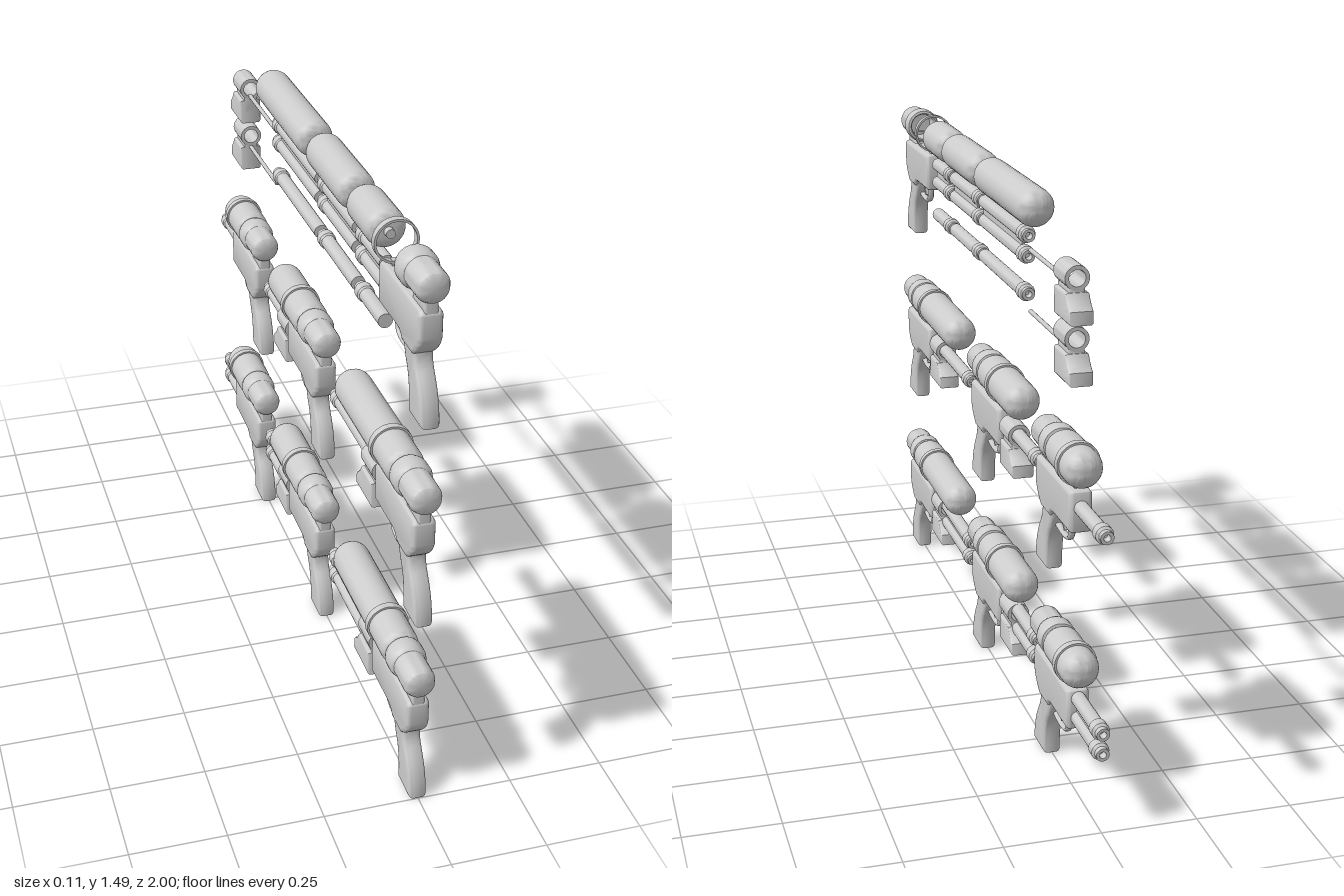
import * as THREE from 'three';
import { toCreasedNormals } from 'three/addons/utils/BufferGeometryUtils.js';

const mat = new THREE.MeshStandardMaterial({ color: 0xcccccc });
const V = (x, y) => new THREE.Vector2(x, y);

// Everything is laid out with the muzzle towards +x, then turned at the end.
function add(parent, name, geo, x = 0, y = 0, z = 0) {
  const m = new THREE.Mesh(geo, mat);
  m.name = name;
  m.position.set(x, y, z);
  parent.add(m);
  return m;
}

function group(parent, name, x = 0, y = 0) {
  const g = new THREE.Group();
  g.name = name;
  g.position.set(x, y, 0);
  parent.add(g);
  return g;
}

// Turned part along x; profile is [position along x, radius]
function turned(profile, seg = 28) {
  const g = new THREE.LatheGeometry(profile.map(([x, r]) => V(r, x)), seg);
  g.rotateZ(-Math.PI / 2);
  return toCreasedNormals(g, 0.6);
}

// Side profile with rounded edges, centred across z
function slab(shape, half, bevel) {
  const g = new THREE.ExtrudeGeometry(shape, {
    depth: 2 * (half - bevel), bevelThickness: bevel, bevelSize: bevel,
    bevelOffset: -bevel, bevelSegments: 4, curveSegments: 8,
  });
  g.translate(0, 0, -(half - bevel));
  return toCreasedNormals(g, 0.6);
}

function roundedBody() {
  const s = new THREE.Shape();
  s.moveTo(0.035, 0.293);
  s.quadraticCurveTo(0.018, 0.293, 0.018, 0.276);
  s.lineTo(0.018, 0.225);
  s.quadraticCurveTo(0.022, 0.195, 0.07, 0.165);
  s.lineTo(0.14, 0.165);
  s.quadraticCurveTo(0.15, 0.184, 0.175, 0.184);
  s.lineTo(0.305, 0.184);
  s.quadraticCurveTo(0.316, 0.184, 0.316, 0.195);
  s.lineTo(0.316, 0.282);
  s.quadraticCurveTo(0.316, 0.293, 0.305, 0.293);
  s.closePath();
  return s;
}

function gripShape() {
  const s = new THREE.Shape();
  s.moveTo(0.05, 0.21);
  s.quadraticCurveTo(0.075, 0.165, 0.045, 0.125);
  s.quadraticCurveTo(0.002, 0.07, 0.002, 0.002);
  s.lineTo(0.097, 0.002);
  s.quadraticCurveTo(0.096, 0.08, 0.12, 0.115);
  s.quadraticCurveTo(0.14, 0.14, 0.155, 0.2);
  s.closePath();
  return s;
}

// Frame: body, grip, trigger, rear cup and tank hoop
const TANK_Y = 0.354;
function addFrame(parent) {
  add(parent, 'body', slab(roundedBody(), 0.03, 0.012));
  add(parent, 'grip', slab(gripShape(), 0.024, 0.012));

  const guard = new THREE.CatmullRomCurve3(
    [[0.12, 0.142], [0.155, 0.134], [0.21, 0.133], [0.237, 0.145], [0.245, 0.19]]
      .map(([x, y]) => new THREE.Vector3(x, y, 0)));
  const guardGeo = new THREE.TubeGeometry(guard, 20, 0.006, 8);
  guardGeo.scale(1, 1, 1.6);
  add(parent, 'triggerGuard', guardGeo);
  const trigger = new THREE.Shape([V(0.175, 0.19), V(0.18, 0.165), V(0.195, 0.145),
    V(0.2, 0.148), V(0.192, 0.168), V(0.198, 0.19)]);
  add(parent, 'trigger', slab(trigger, 0.007, 0.002));

  // Hollow cup that receives the tank neck
  add(parent, 'tankCup', turned([
    [0, 0], [0.001, 0.025], [0.008, 0.036], [0.022, 0.042], [0.095, 0.042],
    [0.102, 0.047], [0.112, 0.05], [0.14, 0.05], [0.15, 0.047], [0.152, 0.04],
    [0.145, 0.036], [0.09, 0.034], [0.088, 0],
  ]), 0, TANK_Y);
  const stem = new THREE.Shape();
  stem.moveTo(0.02, 0.28);
  stem.lineTo(0.12, 0.28);
  stem.quadraticCurveTo(0.095, 0.3, 0.1, 0.33);
  stem.lineTo(0.022, 0.33);
  stem.closePath();
  add(parent, 'cupStem', slab(stem, 0.017, 0.006));

  add(parent, 'tankHoop', turned([[-0.01, 0.05], [-0.01, 0.056], [0.01, 0.056],
    [0.01, 0.05], [-0.01, 0.05]], 36), 0.281, TANK_Y);
  add(parent, 'hoopStem', new THREE.BoxGeometry(0.02, 0.025, 0.02), 0.281, 0.294);
}

// Round-ended tank, body starting at x = 0, with a short neck behind
function addTank(parent, length, x, y) {
  const r = 0.051, pts = [[-0.018, 0], [-0.018, 0.012], [0, 0.012]];
  const arc = (cx, c, from, to) => {
    for (let i = 0; i <= 8; i++) {
      const a = from + (to - from) * i / 8;
      pts.push([cx + c * Math.cos(a), r - c + c * Math.sin(a)]);
    }
  };
  arc(0.032, 0.032, Math.PI, Math.PI / 2);
  arc(length - 0.046, 0.046, Math.PI / 2, 0);
  pts.push([length, 0]);
  add(parent, 'tank', turned(pts), x, y);
}

// Barrel with a collared nozzle
function addBarrel(parent, length, x, y) {
  const L = length;
  add(parent, 'barrel', turned([
    [0, 0], [0, 0.019], [L - 0.05, 0.019], [L - 0.045, 0.023], [L - 0.02, 0.023],
    [L - 0.014, 0.017], [L, 0.017], [L, 0.009], [L - 0.02, 0.007], [L - 0.02, 0],
  ], 20), x, y);
}

function addBarrels(parent, double, length, x, y) {
  if (!double) return addBarrel(parent, length, x, y);
  addBarrel(parent, length, x, y + 0.027);
  addBarrel(parent, length, x, y - 0.027);
  add(parent, 'barrelWeb', new THREE.BoxGeometry(length - 0.05, 0.04, 0.008),
    x + (length - 0.05) / 2, y);
}

// Sliding pump handle; y is the top of its sleeve
function addPump(parent, x, y, rodDrop) {
  const g = group(parent, 'pump', x, y);
  add(g, 'pumpSleeve', turned([[0, 0.021], [0, 0.031], [0.094, 0.031],
    [0.094, 0.021], [0, 0.021]]), 0, -0.031);
  const neck = new THREE.Shape([V(0.003, -0.1), V(0.098, -0.1), V(0.092, -0.054), V(0.003, -0.054)]);
  add(g, 'pumpNeck', slab(neck, 0.02, 0.003));
  const foot = new THREE.Shape();
  foot.moveTo(0.003, -0.137);
  foot.lineTo(0.134, -0.137);
  foot.lineTo(0.132, -0.103);
  foot.quadraticCurveTo(0.11, -0.09, 0.096, -0.066);
  foot.lineTo(0.003, -0.066);
  foot.closePath();
  add(g, 'pumpFoot', slab(foot, 0.031, 0.008));
  const rod = new THREE.CylinderGeometry(0.006, 0.006, 0.31, 10);
  rod.rotateZ(Math.PI / 2);
  add(g, 'pumpRod', rod, -0.145, -rodDrop);
}

export function createModel() {
  const root = new THREE.Group();
  root.name = 'waterBlasterSet';
  const set = group(root, 'layout');
  const barrels = [0.2, 0.315, 0.437];
  const tanks = [0.212, 0.336, 0.484];

  // Assembled blasters: twin-barrel row below, single-barrel row above
  const offsets = [1.484, 0.825, 0];
  for (const double of [true, false]) {
    offsets.forEach((x, i) => {
      const g = group(set, double ? 'twinBarrelBlaster' : 'singleBarrelBlaster',
        x, double ? 0 : 0.533);
      addFrame(g);
      addTank(g, tanks[i], 0.148, TANK_Y);
      addBarrels(g, double, barrels[i], 0.315, double ? 0.243 : 0.25);
      if (i > 0) addPump(g, 0.332, double ? 0.289 : 0.281, double ? 0.054 : 0.066);
    });
  }

  // Separate parts laid out in the top row
  const kit = group(set, 'partsRow', 0, 1.083);
  addFrame(kit);
  const tankX = [0.333, 0.57, 0.94], barrelX = [0.343, 0.563, 0.896];
  for (let i = 0; i < 3; i++) {
    addTank(kit, tanks[i], tankX[i], TANK_Y);
    addBarrels(kit, true, barrels[i], barrelX[i], 0.242);
    addBarrels(kit, false, barrels[i], barrelX[i], 0.115);
  }
  addPump(kit, 1.648, 0.29, 0.054);
  addPump(kit, 1.652, 0.141, 0.066);

  set.rotation.y = Math.PI / 2;
  set.position.z = 1;
  return root;
}
